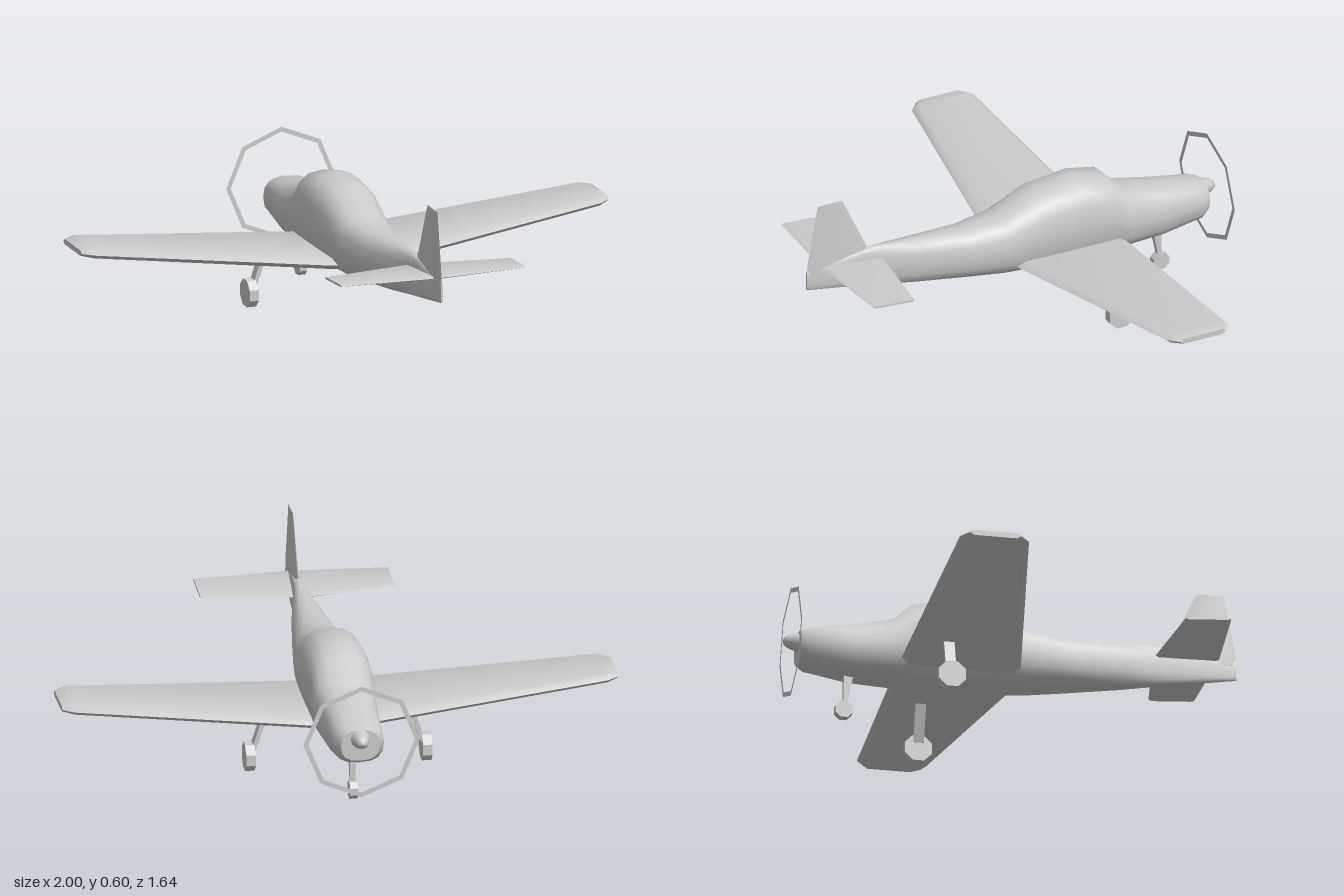
import * as THREE from 'three';
import { toCreasedNormals } from 'three/addons/utils/BufferGeometryUtils.js';

const material = new THREE.MeshStandardMaterial({ color: 0xcccccc, side: THREE.DoubleSide });

function part(name, geometry, x = 0, y = 0, z = 0) {
  const mesh = new THREE.Mesh(geometry, material);
  mesh.name = name;
  mesh.position.set(x, y, z);
  return mesh;
}

// Skin a row of equal-sized rings and close both ends
function loft(rings, crease) {
  const n = rings[0].length, last = (rings.length - 1) * n, index = [];
  for (let i = 0; i < rings.length - 1; i++) {
    for (let j = 0; j < n; j++) {
      const a = i * n + j, b = i * n + (j + 1) % n;
      index.push(a, b, b + n, a, b + n, a + n);
    }
  }
  for (let j = 1; j < n - 1; j++) {
    index.push(0, j + 1, j, last, last + j, last + j + 1);
  }
  const geometry = new THREE.BufferGeometry();
  geometry.setAttribute('position', new THREE.Float32BufferAttribute(rings.flat(2), 3));
  geometry.setIndex(index);
  return toCreasedNormals(geometry, crease);
}

// Rounded-box cross-section of the body
function bodyRing([z, top, bottom, halfWidth]) {
  const ring = [], n = 16, mid = (top + bottom) / 2, h = (top - bottom) / 2;
  const round = (v) => Math.sign(v) * Math.pow(Math.abs(v), 2 / 2.6);
  for (let i = 0; i < n; i++) {
    const a = (i / n) * Math.PI * 2;
    ring.push([halfWidth * round(Math.cos(a)), mid + h * round(Math.sin(a)), z]);
  }
  return ring;
}

// Flat-sided aerofoil with bevelled edges at one span position
function foilRing(x, y, lead, trail, half, bevel, tilt = 0) {
  return [
    [x, y + half, lead + bevel], [x, y + half + tilt, trail - bevel], [x, y + tilt, trail],
    [x, y - half + tilt, trail - bevel], [x, y - half, lead + bevel], [x, y, lead],
  ];
}

// Full-span surface from half-span stations [x, y, lead, trail, half, bevel, tilt]
function span(stations) {
  const left = [...stations].reverse().filter((s) => s[0] > 0).map(([x, ...r]) => foilRing(-x, ...r));
  return loft([...left, ...stations.map((s) => foilRing(...s))], 0.7);
}

function wheel(name, radius, width, x, y, z) {
  const geometry = new THREE.CylinderGeometry(radius, radius, width, 8).rotateY(Math.PI / 8).rotateZ(Math.PI / 2);
  return part(name, toCreasedNormals(geometry, 0.5), x, y, z);
}

// Tapered rectangular leg between two points
function leg(name, [x0, y0, z0, w0, d0], [x1, y1, z1, w1, d1]) {
  const ring = (x, y, z, w, d) => [[x + w, y, z + d], [x + w, y, z - d], [x - w, y, z - d], [x - w, y, z + d]];
  return part(name, loft([ring(x0, y0, z0, w0, d0), ring(x1, y1, z1, w1, d1)], 0.4));
}

export function createModel() {
  const plane = new THREE.Group();
  plane.name = 'airplane';

  // Body with cockpit hump: z, top, bottom, half width
  const stations = [
    [-0.765, 0.32, 0.205, 0.07], [-0.735, 0.33, 0.187, 0.09], [-0.58, 0.357, 0.16, 0.102],
    [-0.43, 0.388, 0.154, 0.115], [-0.365, 0.452, 0.152, 0.118], [-0.25, 0.475, 0.15, 0.12],
    [-0.09, 0.457, 0.156, 0.116], [0.05, 0.392, 0.165, 0.105], [0.2, 0.373, 0.183, 0.083],
    [0.4, 0.38, 0.208, 0.052], [0.53, 0.387, 0.227, 0.026], [0.6, 0.385, 0.238, 0.019],
    [0.82, 0.35, 0.275, 0.004],
  ];
  plane.add(part('fuselage', loft(stations.map(bodyRing), 0.9)));

  // Main wing with raised, clipped tips
  plane.add(part('wing', span([
    [0, 0.205, -0.41, 0.03, 0.02, 0.03],
    [0.11, 0.21, -0.41, 0.02, 0.02, 0.03],
    [0.96, 0.297, -0.365, -0.115, 0.015, 0.02],
    [1, 0.298, -0.335, -0.15, 0.01, 0.015],
  ])));

  // Tail surfaces
  plane.add(part('tailplane', span([
    [0, 0.337, 0.52, 0.757, 0.006, 0.012, 0.012],
    [0.35, 0.339, 0.57, 0.735, 0.004, 0.012, 0.01],
  ])));
  const finRing = (y, front, back, half) => [
    [half, y, back - 0.02], [half, y, front + 0.02], [0, y, front],
    [-half, y, front + 0.02], [-half, y, back - 0.02], [0, y, back],
  ];
  plane.add(part('tailFin', loft([
    finRing(0.33, 0.56, 0.82, 0.007), finRing(0.39, 0.577, 0.813, 0.007), finRing(0.6, 0.676, 0.775, 0.003),
  ], 0.5)));

  // Spinner and propeller ring
  const nose = [[0.036, -0.01], [0.034, 0.005], [0.024, 0.035], [0.014, 0.05], [0, 0.056]]
    .map(([r, y]) => new THREE.Vector2(r, y));
  plane.add(part('spinner', new THREE.LatheGeometry(nose, 12).rotateX(-Math.PI / 2), 0, 0.286, -0.765));
  plane.add(part('propellerRing', new THREE.RingGeometry(0.192, 0.21, 8), 0, 0.285, -0.79));

  // Main landing gear
  for (const s of [-1, 1]) {
    const gear = new THREE.Group();
    gear.name = s > 0 ? 'leftGear' : 'rightGear';
    gear.add(leg('mainLeg', [s * 0.307, 0.075, -0.27, 0.008, 0.019], [s * 0.262, 0.21, -0.27, 0.009, 0.019]));
    gear.add(wheel('mainWheel', 0.0525, 0.034, s * 0.318, 0.055, -0.27));
    plane.add(gear);
  }

  // Nose gear
  plane.add(leg('noseLeg', [0, 0.045, -0.597, 0.009, 0.006], [0, 0.17, -0.583, 0.012, 0.017]));
  plane.add(wheel('noseWheel', 0.034, 0.028, 0, 0.034, -0.6));

  return plane;
}
